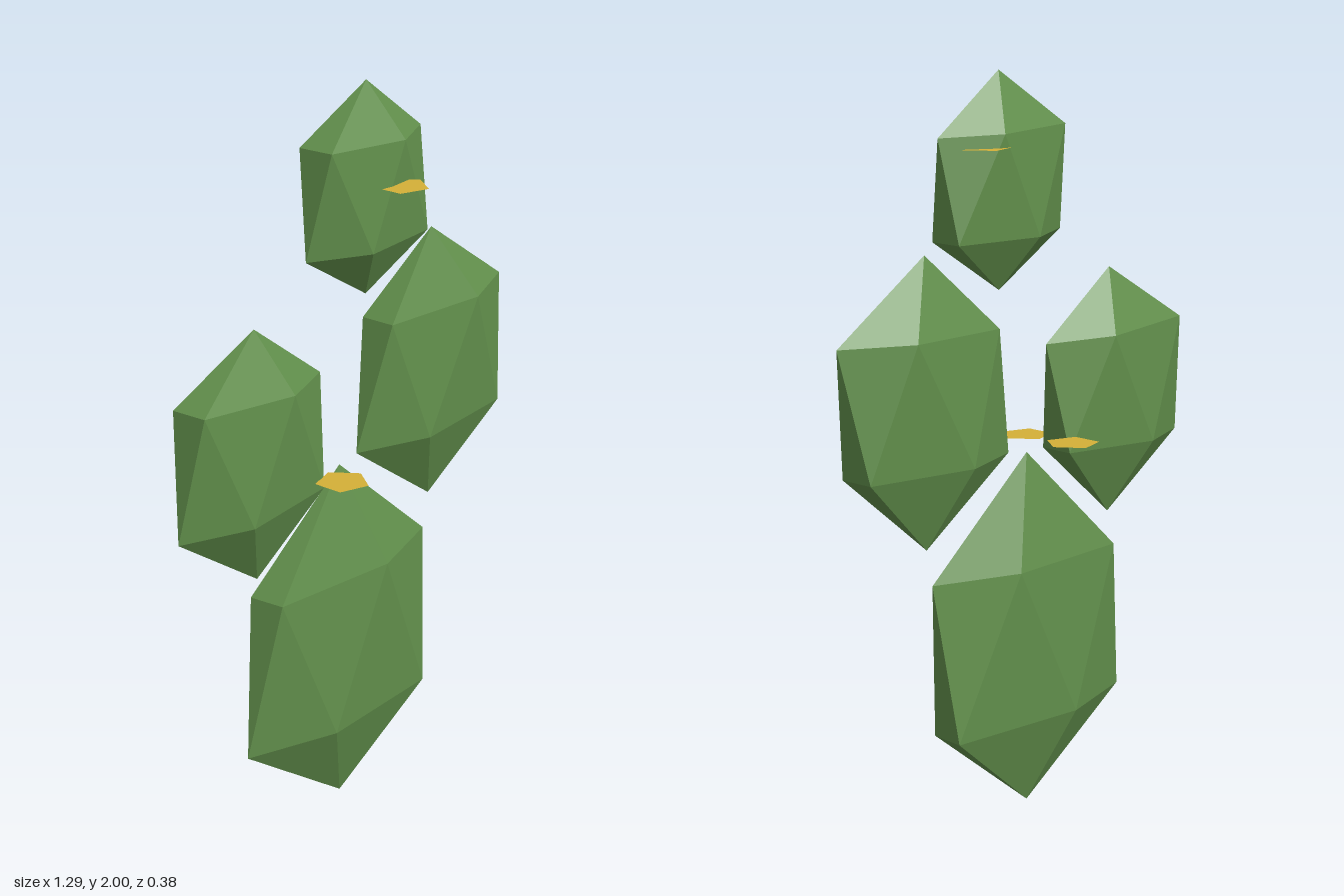
import * as THREE from 'three';

const padGreen = new THREE.MeshStandardMaterial({ color: 0x62904c, flatShading: true });
padGreen.name = 'padGreen';
const flowerGold = new THREE.MeshStandardMaterial({ color: 0xd4b038, side: THREE.DoubleSide });
flowerGold.name = 'flowerGold';

const STEP = (Math.PI * 2) / 5;
const DEPTH = 0.0873;
const MID_Z = 0.008;

// Flattened twenty-sided pad: two poles and two five-point rings.
// Each ring is [leftX, leftY, rightX, rightY]; taper narrows the front points.
function makePad(name, { x, top, bottom, upper, lower, taper }) {
  const ring = ([lx, ly, rx, ry], start, minCos) =>
    Array.from({ length: 5 }, (_, k) => {
      const a = start + k * STEP;
      const t = (Math.cos(a) - minCos) / 1.809;
      let px = lx + (rx - lx) * t;
      if (Math.sin(a) > 0.1) px = x + (px - x) * taper;
      return [px, ly + (ry - ly) * t, MID_Z + DEPTH * Math.sin(a)];
    });
  const up = ring(upper, 0, -0.809);
  const low = ring(lower, STEP / 2, -1);
  const tip = [x, top, MID_Z];
  const foot = [x, bottom, MID_Z];

  const points = [];
  for (let k = 0; k < 5; k++) {
    const n = (k + 1) % 5;
    points.push(tip, up[n], up[k]);
    points.push(up[k], up[n], low[k]);
    points.push(low[k], up[n], low[n]);
    points.push(foot, low[k], low[n]);
  }
  const geometry = new THREE.BufferGeometry();
  geometry.setAttribute('position', new THREE.Float32BufferAttribute(points.flat(), 3));
  geometry.computeVertexNormals();
  const mesh = new THREE.Mesh(geometry, padGreen);
  mesh.name = name;
  return mesh;
}

export function createModel() {
  const model = new THREE.Group();
  model.name = 'cactus';

  // Pads
  model.add(
    makePad('basePad', {
      x: -0.035, top: 0.98, bottom: 0, taper: 0.965,
      upper: [-0.33, 0.68, 0.32, 0.68], lower: [-0.405, 0.25, 0.275, 0.245],
    }),
    makePad('rightPad', {
      x: -0.36, top: 1.445, bottom: 0.76, taper: 0.98,
      upper: [-0.6, 1.285, -0.11, 1.262], lower: [-0.645, 0.95, -0.15, 0.965],
    }),
    makePad('leftPad', {
      x: 0.34, top: 1.55, bottom: 0.78, taper: 1,
      upper: [0.12, 1.34, 0.643, 1.347], lower: [0.035, 0.99, 0.582, 1.0],
    }),
    makePad('topPad', {
      x: 0.07, top: 2, bottom: 1.43, taper: 0.97,
      upper: [-0.127, 1.853, 0.29, 1.84], lower: [-0.163, 1.57, 0.267, 1.57],
    }),
  );

  // Flat five-sided flowers
  const petals = new THREE.CircleGeometry(0.073, 5).rotateX(-Math.PI / 2);
  const spots = [
    [-0.07, 1.02, -0.125],
    [0.17, 1.81, -0.035],
    [-0.145, 0.995, 0.115],
    [0.1, 1.733, 0.105],
  ];
  spots.forEach((p, i) => {
    const flower = new THREE.Mesh(petals, flowerGold);
    flower.name = `flower${i + 1}`;
    flower.position.set(...p);
    model.add(flower);
  });
  return model;
}
